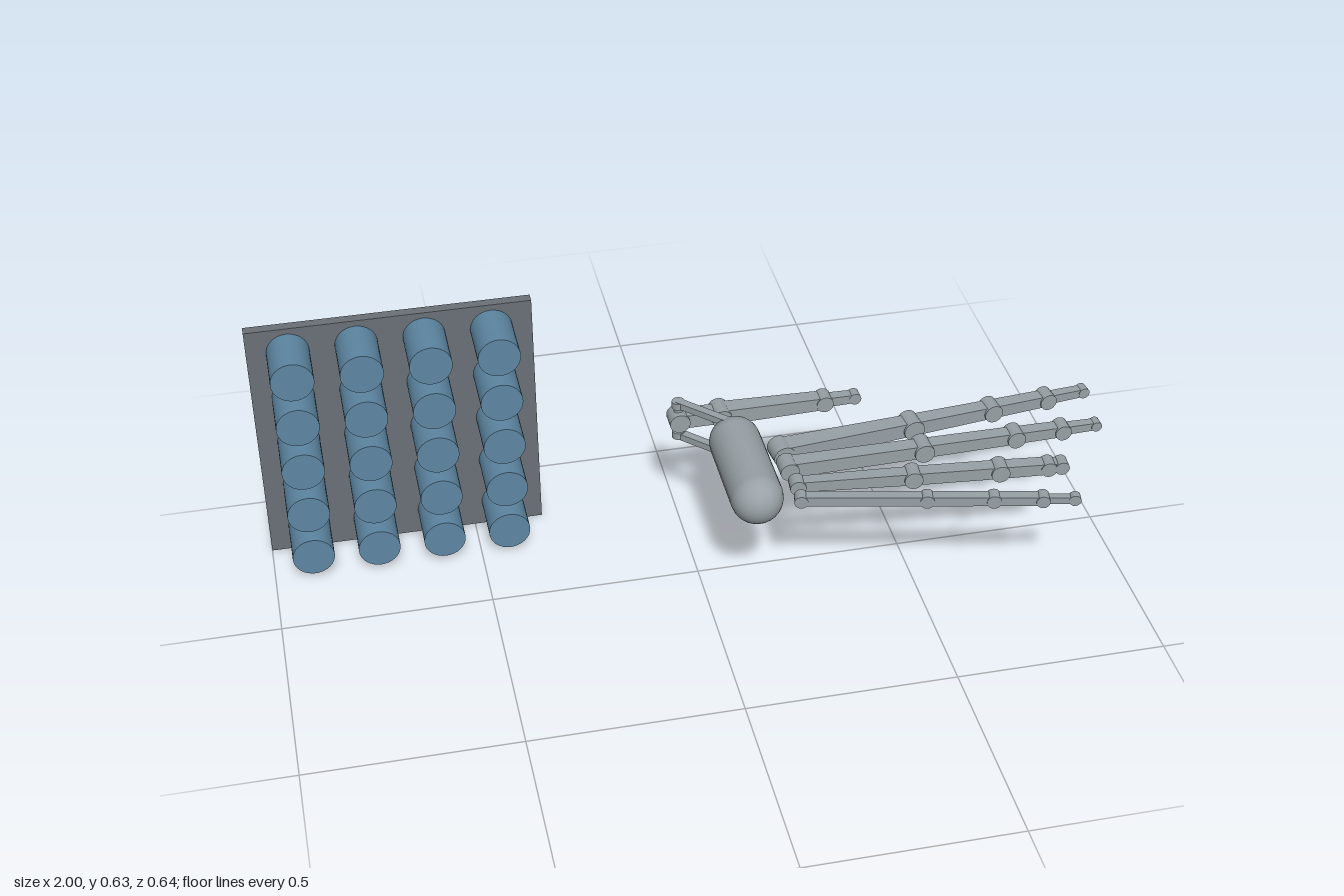
import * as THREE from 'three';

const steel = new THREE.MeshStandardMaterial({ color: 0x98a1a6 });
steel.name = 'lightSteel';
const slate = new THREE.MeshStandardMaterial({ color: 0x6a7177 });
slate.name = 'slateGrey';
const blue = new THREE.MeshStandardMaterial({ color: 0x5d86a2 });
blue.name = 'mutedBlue';

const MID = 0.317; // height of the hand's centre plane

function add(parent, name, geometry, material, x = 0, y = 0, z = 0) {
  const mesh = new THREE.Mesh(geometry, material);
  mesh.name = name;
  mesh.position.set(x, y, z);
  parent.add(mesh);
  return mesh;
}

// Box along +x whose cross-section narrows from w0 to w1
function taperedBone(length, w0, w1) {
  const g = new THREE.BoxGeometry(length, 1, 1);
  const p = g.attributes.position;
  for (let i = 0; i < p.count; i++) {
    const w = p.getX(i) < 0 ? w0 : w1;
    p.setY(i, p.getY(i) * w * 0.92);
    p.setZ(i, p.getZ(i) * w);
  }
  g.computeVertexNormals();
  return g;
}

// Finger from start to end [x, z]; hinges are [distance along x, width, radius],
// bones are the [start width, end width] between successive hinges
function finger(name, start, end, hinges, bones) {
  const group = new THREE.Group();
  group.name = name;
  const dx = end[0] - start[0], dz = end[1] - start[1];
  const stretch = Math.hypot(dx, dz) / dx;
  group.position.set(start[0], MID, start[1]);
  group.rotation.y = -Math.atan2(dz, dx);
  hinges.forEach(([x, width, radius], i) => {
    const at = (x - start[0]) * stretch;
    const hinge = new THREE.CylinderGeometry(radius, radius, width, 18);
    hinge.rotateX(Math.PI / 2);
    add(group, 'hinge', hinge, steel, at);
    if (i < bones.length) {
      const next = (hinges[i + 1][0] - start[0]) * stretch;
      add(group, 'bone', taperedBone(next - at, ...bones[i]), steel, (at + next) / 2);
    }
  });
  return group;
}

export function createModel() {
  const model = new THREE.Group();
  model.name = 'handAndPegBoard';

  // Board with a grid of round pegs
  const board = new THREE.Group();
  board.name = 'pegBoard';
  model.add(board);
  add(board, 'backPlate', new THREE.BoxGeometry(0.667, 0.635, 0.025), slate, -0.6665, 0.3175, -0.3125);
  const pegShape = new THREE.CylinderGeometry(0.05, 0.05, 0.128, 32);
  pegShape.rotateX(Math.PI / 2);
  for (let col = 0; col < 4; col++) {
    for (let row = 0; row < 5; row++) {
      add(board, 'peg', pegShape, blue, -0.904 + col * 0.158, 0.064 + row * 0.1267, -0.236);
    }
  }

  // Capsule palm lying along z
  const hand = new THREE.Group();
  hand.name = 'hand';
  model.add(hand);
  const palm = new THREE.CapsuleGeometry(0.062, 0.221, 12, 24);
  palm.rotateX(Math.PI / 2);
  add(hand, 'palm', palm, steel, 0.107, MID, 0.0345);

  // Four fingers
  hand.add(finger('indexFinger', [0.205, -0.016], [1.0, -0.103],
    [[0.205, 0.053, 0.027], [0.533, 0.053, 0.026], [0.74, 0.047, 0.023], [0.885, 0.042, 0.021], [0.983, 0.027, 0.014]],
    [[0.05, 0.04], [0.04, 0.035], [0.035, 0.032], [0.025, 0.023]]));
  hand.add(finger('middleFinger', [0.205, 0.047], [0.98, 0.038],
    [[0.205, 0.048, 0.023], [0.533, 0.052, 0.024], [0.762, 0.046, 0.022], [0.88, 0.04, 0.02], [0.966, 0.026, 0.013]],
    [[0.04, 0.037], [0.036, 0.033], [0.032, 0.03], [0.024, 0.022]]));
  hand.add(finger('ringFinger', [0.21, 0.117], [0.85, 0.177],
    [[0.21, 0.036, 0.019], [0.48, 0.044, 0.022], [0.685, 0.044, 0.022], [0.8, 0.037, 0.019], [0.832, 0.034, 0.017]],
    [[0.029, 0.034], [0.034, 0.034], [0.034, 0.032], [0.028, 0.028]]));
  hand.add(finger('littleFinger', [0.205, 0.173], [0.84, 0.31],
    [[0.205, 0.031, 0.016], [0.488, 0.031, 0.017], [0.638, 0.031, 0.017], [0.748, 0.031, 0.016], [0.82, 0.02, 0.014]],
    [[0.026, 0.026], [0.026, 0.026], [0.026, 0.026], [0.018, 0.018]]));

  // Thumb, beside the palm
  hand.add(finger('thumb', [-0.005, -0.197], [0.45, -0.197],
    [[-0.005, 0.048, 0.025], [0.098, 0.058, 0.025], [0.355, 0.042, 0.021], [0.432, 0.028, 0.015]],
    [[0.038, 0.038], [0.044, 0.036], [0.027, 0.025]]));

  // Mirrored struts and pivots that hold the thumb
  for (const side of [1, -1]) {
    const strut = add(hand, 'thumbStrut', new THREE.BoxGeometry(0.165, 0.017, 0.02), steel,
      0.0525, MID + side * 0.045, -0.139);
    strut.rotation.y = -Math.atan2(0.116, 0.115);
    add(hand, 'pivotCap', new THREE.CylinderGeometry(0.016, 0.016, 0.018, 18), steel,
      -0.005, MID + side * 0.043, -0.197);
    add(hand, 'pivotPin', new THREE.CylinderGeometry(0.011, 0.011, 0.03, 18), steel,
      -0.005, MID + side * 0.027, -0.197);
  }
  return model;
}
